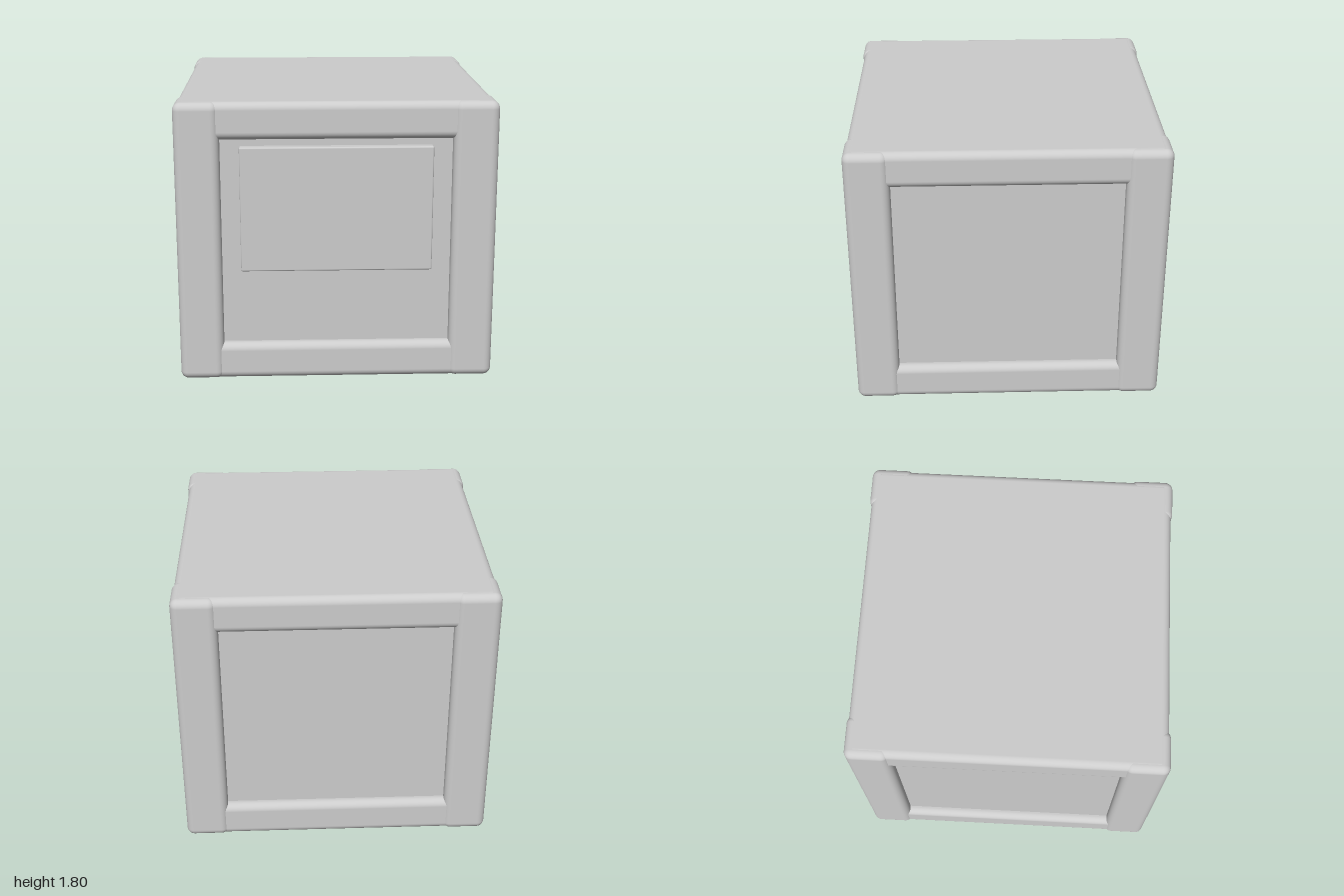
import * as THREE from 'three';
import { RoundedBoxGeometry } from 'three/addons/geometries/RoundedBoxGeometry.js';

export function createModel() {
  const model = new THREE.Group();
  model.name = 'crate';
  const grey = new THREE.MeshStandardMaterial({ color: 0xcccccc });
  grey.name = 'light grey';

  const add = (name, geometry, x, y, z) => {
    const mesh = new THREE.Mesh(geometry, grey);
    mesh.name = name;
    mesh.position.set(x, y, z);
    model.add(mesh);
  };

  // Recessed side panels, formed by one inner body
  add('innerBody', new THREE.BoxGeometry(1.86, 1.5, 1.86), 0, 0.9, 0);

  // Lid and base, slightly inset from the posts
  add('lid', new RoundedBoxGeometry(1.976, 0.235, 1.976, 5, 0.05), 0, 1.6825, 0);
  add('base', new RoundedBoxGeometry(1.976, 0.24, 1.976, 5, 0.05), 0, 0.12, 0);

  // Four rounded corner posts
  const post = new RoundedBoxGeometry(0.28, 1.798, 0.28, 5, 0.05);
  for (const [side, x] of [['left', 0.86], ['right', -0.86]]) {
    for (const [end, z] of [['Front', 0.86], ['Back', -0.86]]) {
      add(`${side}${end}Post`, post, x, 0.9, z);
    }
  }

  // Label plate on the front panel
  add('frontPlate', new RoundedBoxGeometry(1.2, 0.796, 0.08, 3, 0.01), 0, 1.123, 0.945);

  return model;
}
